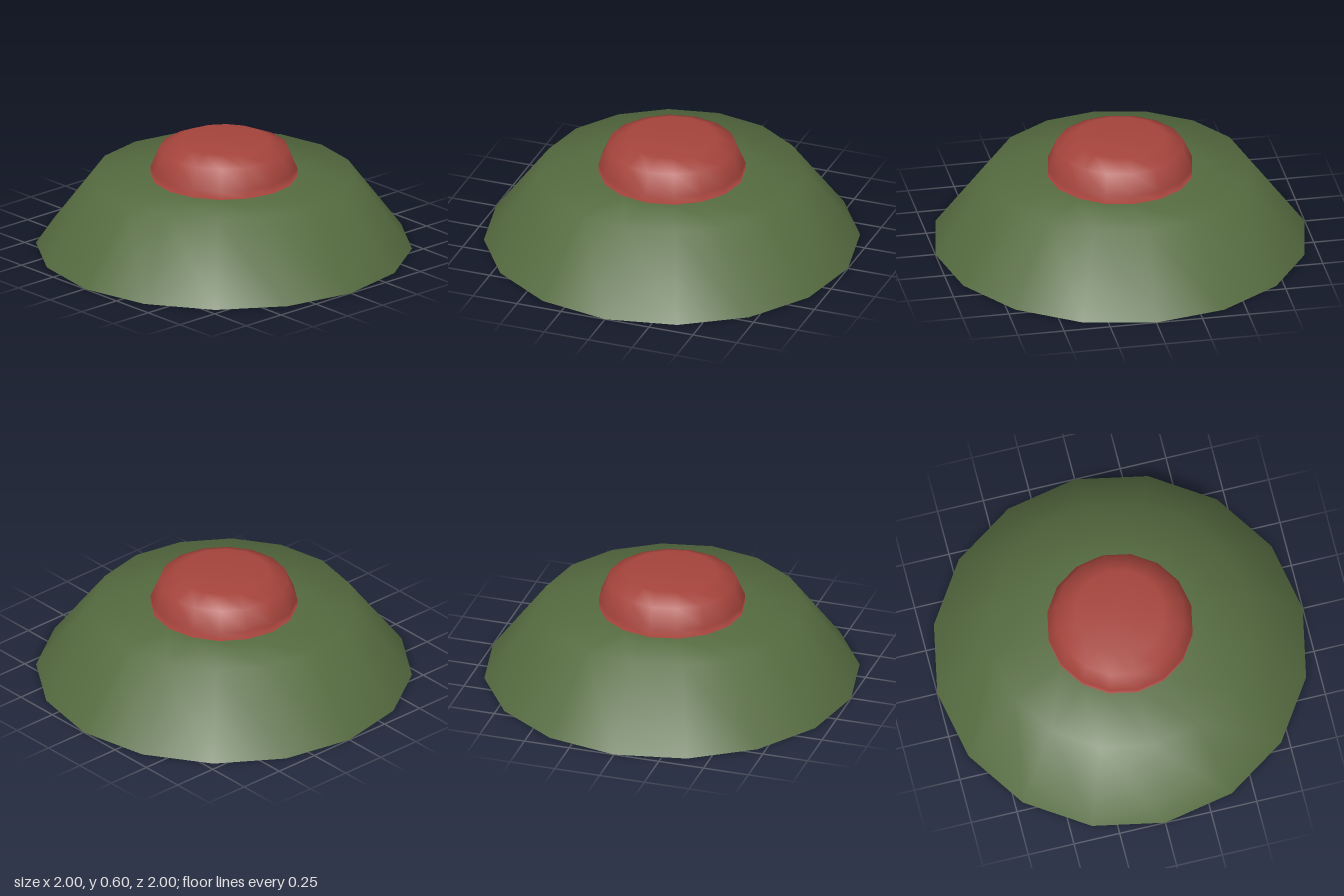
import * as THREE from 'three';

// Shared outline from the outer foot up to the middle of the button
const PROFILE = [
  [1, 0], [0.7, 0.4], [0.39, 0.4],                 // base: sloped skirt, flat shoulder
  [0.39, 0.445], [0.343, 0.555], [0.24, 0.6], [0, 0.6], // button: wall, rounded edge, top
].map(([x, y]) => new THREE.Vector2(x, y));
const SIDES = 16;

// Revolves the outline and keeps only the bands from..to-1, so normals flow across the seam
function revolvedPart(name, color, from, to) {
  const geometry = new THREE.LatheGeometry(PROFILE, SIDES);
  const bands = PROFILE.length - 1;
  const kept = Array.from(geometry.index.array).filter((_, i) => {
    const band = Math.floor(i / 6) % bands;
    return band >= from && band < to;
  });
  geometry.setIndex(kept);
  const material = new THREE.MeshStandardMaterial({ color, side: THREE.DoubleSide });
  const mesh = new THREE.Mesh(geometry, material);
  mesh.name = name;
  return mesh;
}

export function createModel() {
  const group = new THREE.Group();
  group.name = 'buttonOnBase';
  group.add(revolvedPart('base', 0x556b40, 0, 2));   // hollow, open underneath
  group.add(revolvedPart('button', 0xa5443c, 2, 6)); // hollow cap over the opening
  return group;
}
